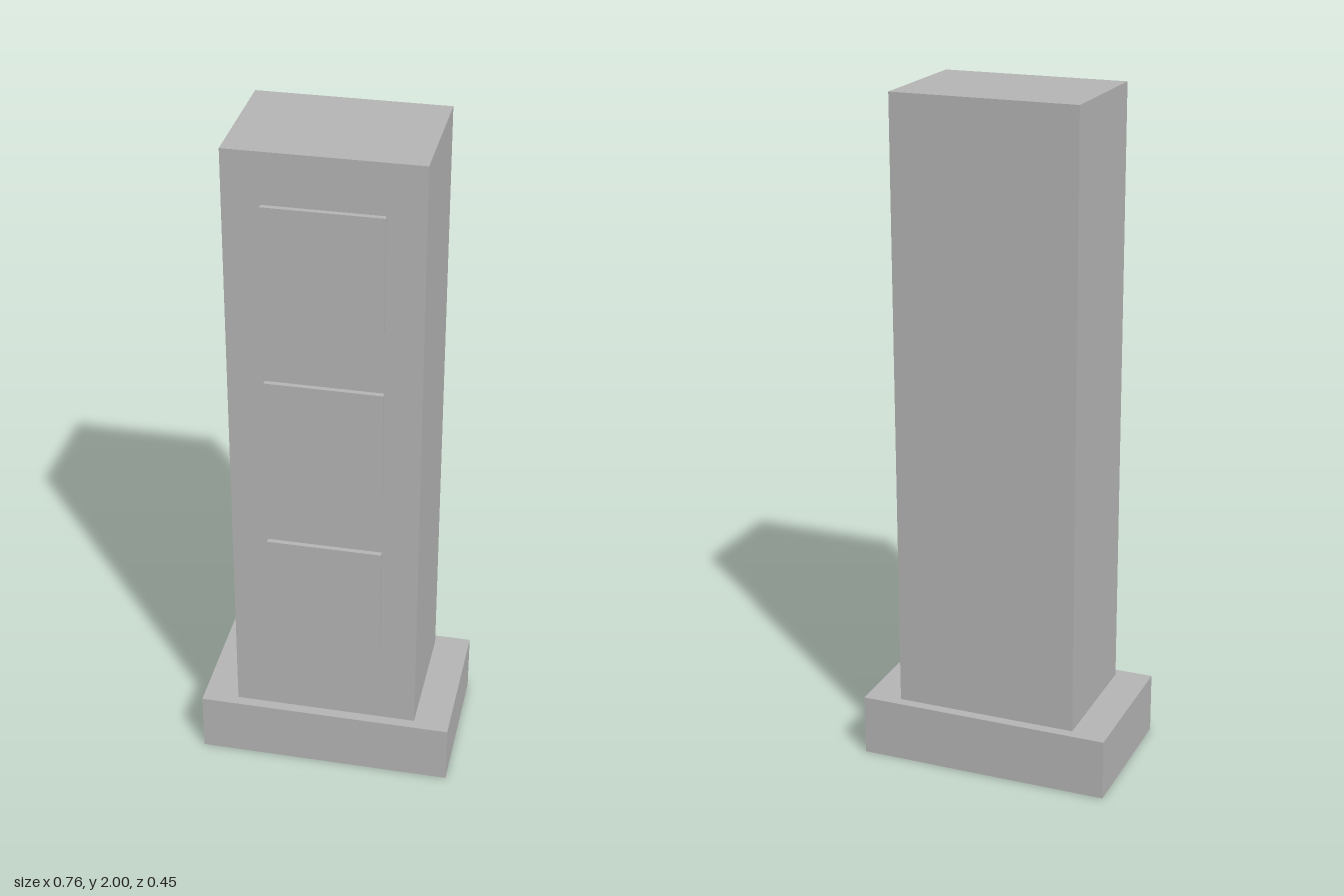
import * as THREE from 'three';

export function createModel() {
  const model = new THREE.Group();
  const grey = new THREE.MeshStandardMaterial({ color: 0xb4b4b4 });
  grey.name = 'plain grey';

  // Box given by its size, bottom height and depth position
  function addBox(name, width, height, depth, bottom, z = 0) {
    const mesh = new THREE.Mesh(new THREE.BoxGeometry(width, height, depth), grey);
    mesh.name = name;
    mesh.position.set(0, bottom + height / 2, z);
    model.add(mesh);
  }

  // Plinth and tall column
  addBox('base', 0.757, 0.182, 0.452, 0);
  addBox('column', 0.545, 1.818, 0.39, 0.182);

  // Three square panels standing slightly proud of the front
  for (let i = 0; i < 3; i++) {
    addBox(`frontPanel${i + 1}`, 0.333, 0.333, 0.015, 0.458 + i * 0.53, 0.2025);
  }

  return model;
}
